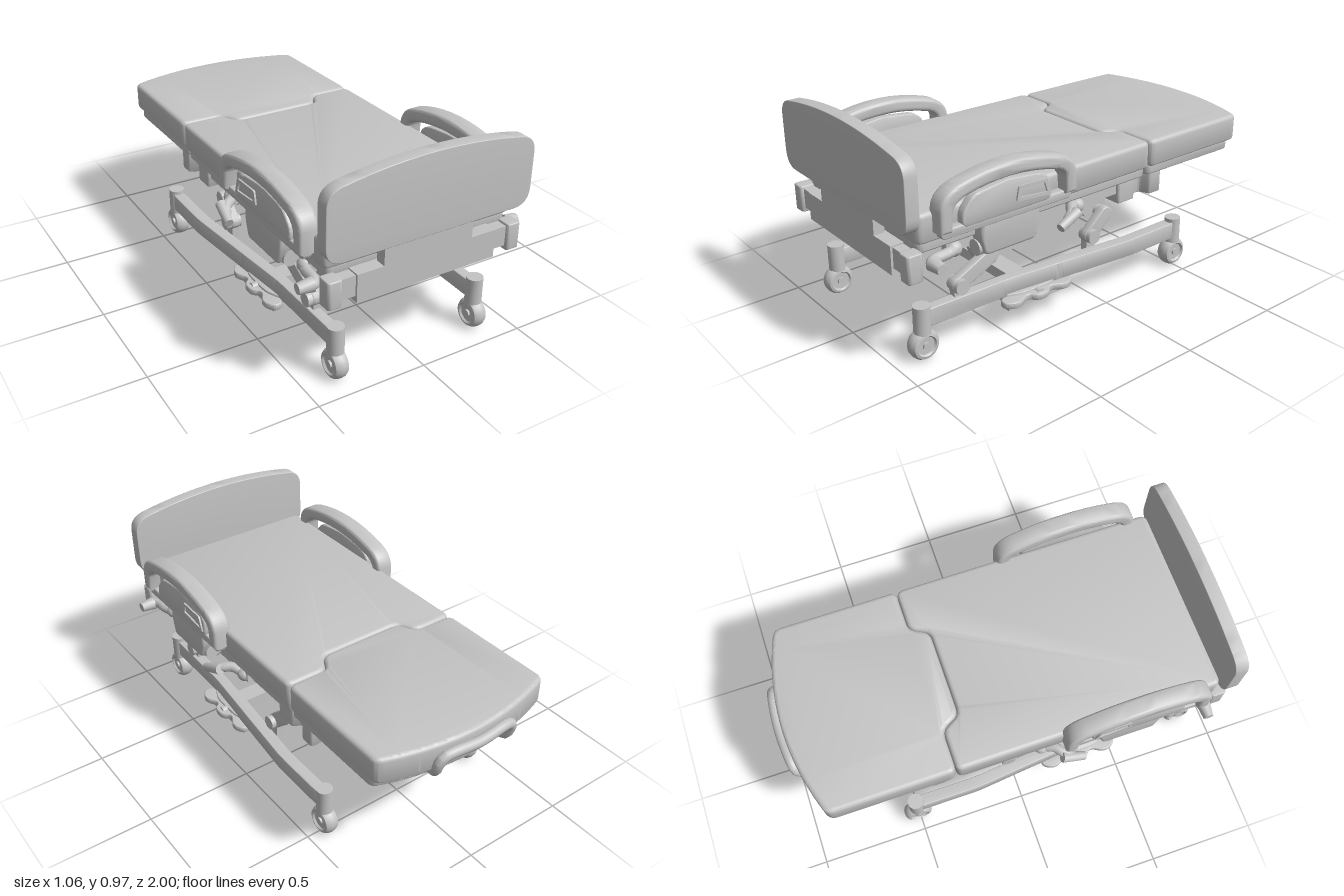
import * as THREE from 'three';
import { toCreasedNormals } from 'three/addons/utils/BufferGeometryUtils.js';

const grey = new THREE.MeshStandardMaterial({ color: 0xc4c4c4 });
grey.name = 'light grey';

// Closed polygon with every corner rounded by up to r
function rounded(pts, r) {
  const v = pts.map(p => new THREE.Vector2(p[0], p[1])), n = v.length, s = new THREE.Shape();
  v.forEach((p, i) => {
    const cut = q => p.clone().add(q.clone().sub(p).setLength(Math.min(r, q.distanceTo(p) * 0.45)));
    const a = cut(v[(i + n - 1) % n]), b = cut(v[(i + 1) % n]);
    if (i) s.lineTo(a.x, a.y); else s.moveTo(a.x, a.y);
    s.quadraticCurveTo(p.x, p.y, b.x, b.y);
  });
  s.closePath();
  return s;
}
// Solid of total thickness d with a soft edge b inside the outline
function solid(shape, d, b) {
  const g = new THREE.ExtrudeGeometry(shape, {
    depth: d - 2 * b, bevelEnabled: b > 0, bevelThickness: b, bevelSize: b, bevelOffset: -b, bevelSegments: 4, curveSegments: 8,
  });
  return g.translate(0, 0, b);
}
// Outline in (x, z), raised from y0 to y1
const slab = (pts, y0, y1, r, b) =>
  solid(rounded(pts.map(p => [p[0], -p[1]]), r), y1 - y0, b).rotateX(-Math.PI / 2).translate(0, y0, 0);
// Outline in (z, y), spanning x0 to x1
const plate = (shape, x0, x1, b) => solid(shape, x1 - x0, b).rotateY(-Math.PI / 2).translate(x1, 0, 0);
const box = (x0, x1, y0, y1, z0, z1) =>
  new THREE.BoxGeometry(x1 - x0, y1 - y0, z1 - z0).translate((x0 + x1) / 2, (y0 + y1) / 2, (z0 + z1) / 2);
const vec = p => new THREE.Vector3(...p);
// Tapered round bar between two points
function bar(a, b, ra, rb) {
  const A = vec(a), d = vec(b).sub(A);
  const g = new THREE.CylinderGeometry(rb, ra, d.length(), 16);
  g.applyQuaternion(new THREE.Quaternion().setFromUnitVectors(new THREE.Vector3(0, 1, 0), d.clone().normalize()));
  return g.translate(...A.addScaledVector(d, 0.5).toArray());
}
// Round bar lying along x
const axle = (r, x0, x1, y, z) => bar([x0, y, z], [x1, y, z], r, r);
const tube = (pts, r) => new THREE.TubeGeometry(new THREE.CatmullRomCurve3(pts.map(vec), false, 'centripetal'), 32, r, 12);

export function createModel() {
  const model = new THREE.Group();
  model.name = 'hospitalBed';
  const add = (name, geo) => {
    const mesh = new THREE.Mesh(toCreasedNormals(geo, 0.6), grey);
    mesh.name = name;
    model.add(mesh);
    return mesh;
  };
  // Adds a part on the left and its mirror image on the right
  const pair = (name, geo) => {
    const g = add(name + 'Left', geo).geometry.clone().scale(-1, 1, 1);
    for (const key of ['position', 'normal']) {
      const a = g.attributes[key];
      for (let i = 0; i < a.count; i += 3) {
        const p = [a.getX(i + 1), a.getY(i + 1), a.getZ(i + 1)];
        a.setXYZ(i + 1, a.getX(i + 2), a.getY(i + 2), a.getZ(i + 2));
        a.setXYZ(i + 2, ...p);
      }
    }
    const mesh = new THREE.Mesh(g, grey);
    mesh.name = name + 'Right';
    model.add(mesh);
  };

  // Mattress in two sections with an interlocking seam
  add('mainMattress', slab([[-.447, .935], [.447, .935], [.447, -.297], [.25, -.297], [.205, -.21],
    [-.205, -.21], [-.25, -.297], [-.447, -.297]], .56, .688, .035, .02));
  const footArc = [];
  for (let i = -5; i <= 5; i++) footArc.push([i * .0894, -.962 + .085 * (i / 5) ** 2]);
  add('footMattress', slab([...footArc, [.447, -.299], [.25, -.299], [.205, -.212], [-.205, -.212],
    [-.25, -.299], [-.447, -.299]], .56, .688, .035, .02));

  // Deck beneath the mattress
  add('mainDeck', slab([[-.43, .925], [.43, .925], [.43, -.285], [-.43, -.285]], .52, .575, .03, .008));
  add('footDeck', slab([...footArc.map(p => [p[0] * .97, p[1] + .035]), [.43, -.295], [-.43, -.295]], .52, .575, .03, .008));
  add('footHandle', tube([[-.18, .54, -.87], [-.19, .545, -.93], [-.193, .6, -.955], [-.17, .628, -.962],
    [0, .63, -.976], [.17, .628, -.962], [.193, .6, -.955], [.19, .545, -.93], [.18, .54, -.87]], .024));

  // Headboard with a bowed top
  const board = new THREE.Shape();
  board.moveTo(-.40, .62);
  board.lineTo(.40, .62);
  board.quadraticCurveTo(.48, .62, .48, .70);
  board.lineTo(.48, .86);
  board.quadraticCurveTo(.475, .925, .40, .935);
  board.quadraticCurveTo(.2, .972, 0, .972);
  board.quadraticCurveTo(-.2, .972, -.40, .935);
  board.quadraticCurveTo(-.475, .925, -.48, .86);
  board.lineTo(-.48, .70);
  board.quadraticCurveTo(-.48, .62, -.40, .62);
  add('headboard', solid(board, .06, .003).translate(0, 0, .94));
  add('headboardMount', box(-.21, .21, .53, .63, .935, .985));
  add('headCrossPlate', box(-.33, .33, .412, .537, .92, .985));
  pair('headPlateArm', box(.32, .41, .44, .53, .925, .975));
  pair('cornerBumper', slab([[.395, .92], [.46, .92], [.46, .99], [.395, .99]], .42, .54, .015, .005));

  // Upper frame, its underside sloping up toward the head
  add('frameHeadSection', box(-.29, .29, .44, .53, .58, .93));
  add('frameBody', plate(new THREE.Shape([[.61, .43], [.31, .37], [-.165, .37], [-.165, .53], [.61, .53]]
    .map(p => new THREE.Vector2(...p))), -.29, .29, 0));
  pair('frameSideRail', box(.33, .385, .455, .525, -.165, .93));
  pair('frameSidePlate', plate(rounded([[.61, .42], [.55, .31], [.38, .31], [.31, .37], [-.02, .37],
    [-.06, .33], [-.13, .33], [-.165, .38], [-.165, .46], [.61, .46]], .02), .265, .30, 0));
  pair('footBracket', slab([[.28, -.15], [.40, -.15], [.40, -.25], [.36, -.27], [.36, -.32], [.41, -.34],
    [.41, -.41], [.31, -.41], [.31, -.27], [.28, -.25]], .41, .525, .012, .005));

  // Swinging lift arms with their rollers
  for (const [z0, y0, z1, y1] of [[.69, .275, .525, .355], [-.03, .275, -.12, .355]]) {
    const arm = new THREE.Shape(), t = Math.atan2(y1 - y0, z1 - z0), h = Math.PI / 2;
    arm.absarc(z0, y0, .035, t + h, t + 3 * h);
    arm.absarc(z1, y1, .035, t - h, t + h);
    arm.closePath();
    pair('liftArm', plate(arm, .318, .36, .006));
    pair('liftRoller', axle(.033, .31, .382, y0, z0));
    pair('liftPivot', axle(.03, .26, .345, y1, z1));
    pair('liftFoot', box(.32, .355, .2, y0, z0 - .025, z0 + .025));
  }

  // Base: splayed side rails, crossbar, posts
  pair('baseRail', slab([[.32, .87], [.325, .45], [.345, .2], [.385, -.2], [.385, -.5],
    [.44, -.5], [.44, -.2], [.40, .2], [.375, .45], [.37, .87]], .15, .23, .04, .004));
  add('baseCrossbar', box(-.35, .35, .125, .175, .28, .37));
  pair('baseRailSaddle', slab([[.31, .48], [.37, .48], [.405, .40], [.405, .24], [.37, .16], [.31, .16]], .125, .16, .03, .004));
  for (const [x, z] of [[.348, .872], [.412, -.505]]) {
    pair('casterPost', new THREE.CylinderGeometry(.037, .037, .125, 20).translate(x, .185, z));
    pair('casterCap', new THREE.CylinderGeometry(.034, .034, .025, 20).translate(x, .135, z));
    const profile = [[0, -.022], [.04, -.024], [.046, -.033], [.057, -.03], [.065, -.017], [.067, 0],
      [.065, .017], [.057, .03], [.046, .033], [.04, .024], [0, .022]];
    const wheel = new THREE.LatheGeometry(profile.map(p => new THREE.Vector2(...p)), 28);
    pair('casterWheel', wheel.rotateZ(Math.PI / 2).translate(x, .072, z));
    pair('casterAxle', axle(.016, x - .032, x + .032, .072, z));
  }

  // Brake pedal: two lobes on a bar
  pair('pedalBar', slab([[.37, .50], [.42, .51], [.45, .45], [.41, .38], [.45, .35], [.45, .29], [.41, .26],
    [.45, .19], [.42, .13], [.37, .14]], .12, .15, .03, .006));
  pair('pedalUnderside', box(.36, .41, .1, .125, .16, .48));
  pair('pedalHub', axle(.02, .34, .43, .14, .32));

  // Side guards: arch, inner panel, control frame and hinge
  const arch = new THREE.Shape();
  arch.moveTo(.866, .605);
  arch.lineTo(.866, .70);
  arch.quadraticCurveTo(.858, .765, .78, .79);
  arch.quadraticCurveTo(.53, .86, .28, .785);
  arch.quadraticCurveTo(.197, .76, .19, .69);
  arch.lineTo(.19, .605);
  arch.lineTo(.246, .605);
  arch.lineTo(.25, .685);
  arch.quadraticCurveTo(.255, .715, .31, .73);
  arch.quadraticCurveTo(.53, .79, .75, .735);
  arch.quadraticCurveTo(.797, .72, .805, .685);
  arch.lineTo(.81, .605);
  pair('guardArch', plate(arch, .42, .508, .018));
  pair('guardPanel', plate(rounded([[.755, .60], [.755, .66], [.70, .725], [.53, .745], [.36, .725], [.315, .69], [.315, .60]], .03),
    .445, .488, .008));
  const frame = rounded([[.50, .642], [.488, .705], [.345, .70], [.322, .625]], .01);
  frame.holes.push(rounded([[.48, .655], [.473, .69], [.357, .686], [.343, .642]], .006));
  pair('guardControlFrame', plate(frame, .486, .496, 0));
  pair('guardLowerRail', plate(rounded([[.85, .575], [.85, .615], [.205, .615], [.205, .575]], .02), .435, .485, .005));
  pair('guardHinge', plate(rounded([[.66, .60], [.66, .52], [.64, .44], [.39, .44], [.365, .52], [.365, .60]], .02), .40, .478, .015));
  pair('guardHingeBarrel', bar([.425, .465, .37], [.425, .465, .66], .035, .035));

  // Side levers ending in knobs
  pair('headLever', tube([[.43, .49, .76], [.44, .49, .80], [.445, .488, .86], [.46, .486, .885], [.49, .484, .885]], .023));
  pair('headLeverGrip', bar([.465, .486, .885], [.53, .484, .883], .031, .023));
  pair('headLeverKnob', new THREE.SphereGeometry(.033, 18, 12).translate(.42, .49, .755));
  pair('midLever', tube([[.41, .485, .11], [.44, .503, .165], [.48, .498, .20], [.50, .478, .24]], .023));
  pair('midLeverGrip', bar([.495, .505, .18], [.51, .465, .285], .025, .02));
  pair('midLeverKnob', new THREE.SphereGeometry(.034, 18, 12).translate(.41, .485, .11));
  pair('leverMount', box(.37, .42, .465, .525, .07, .15));
  pair('leverMountHead', box(.37, .42, .465, .525, .72, .79));
  return model;
}
